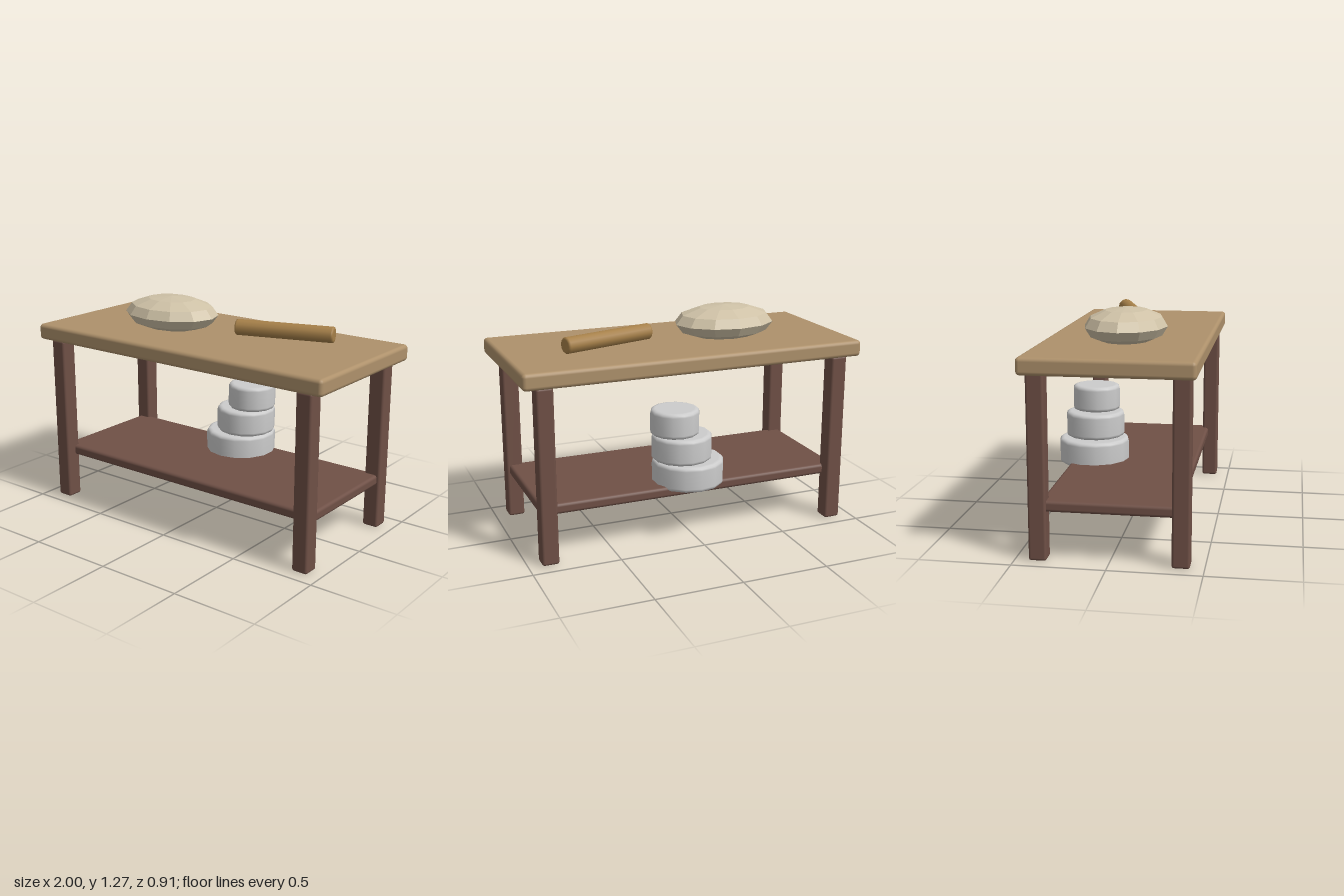
import * as THREE from 'three';
import { RoundedBoxGeometry } from 'three/addons/geometries/RoundedBoxGeometry.js';

const material = (color, flatShading = false) => new THREE.MeshStandardMaterial({ color, flatShading });

// Closed upright drum with rounded rims, centred on the origin
function drumGeometry(radius, height, bevel, sides) {
  const points = [new THREE.Vector2(0, -height / 2), new THREE.Vector2(radius - bevel * 1.3, -height / 2)];
  for (const end of [-1, 1]) {
    for (let i = 0; i <= 3; i++) {
      const a = (end < 0 ? i - 3 : i) * Math.PI / 6;
      points.push(new THREE.Vector2(
        radius - bevel + bevel * Math.cos(a),
        end * (height / 2 - bevel) + bevel * Math.sin(a)));
    }
  }
  points.push(new THREE.Vector2(radius - bevel * 1.3, height / 2), new THREE.Vector2(0, height / 2));
  return new THREE.LatheGeometry(points, sides);
}

export function createModel() {
  const group = new THREE.Group();
  const add = (name, geometry, mat, x, y, z) => {
    const mesh = new THREE.Mesh(geometry, mat);
    mesh.name = name;
    mesh.position.set(x, y, z);
    group.add(mesh);
    return mesh;
  };

  const darkWood = material(0x6f5046);
  const grey = material(0xcccccc);

  // Table
  add('tableTop', new RoundedBoxGeometry(2, 0.094, 0.91, 2, 0.022), material(0xae916b), 0, 1.045, 0);
  add('shelf', new RoundedBoxGeometry(1.818, 0.061, 0.728, 2, 0.018), darkWood, 0, 0.295, 0);
  const legGeometry = new RoundedBoxGeometry(0.096, 1.0, 0.096, 2, 0.014);
  for (const [side, x] of [['left', 1], ['right', -1]]) {
    for (const [end, z] of [['Front', 1], ['Back', -1]]) {
      add(`${side}${end}Leg`, legGeometry, darkWood, x * 0.877, 0.5, z * 0.377);
    }
  }

  // Three stacked rounds on the shelf, each shifted a little sideways
  [[0.209, 0], [0.175, 0.038], [0.141, 0.08]].forEach(([radius, x], i) => {
    add(`stackedRound${i + 1}`, drumGeometry(radius, 0.15, 0.022, 14), grey, x, 0.377 + i * 0.151, -0.249);
  });

  // Flattened dough, sunk slightly into the table top
  const dough = new THREE.SphereGeometry(1, 12, 6);
  dough.scale(0.302, 0.102, 0.231);
  add('dough', dough, material(0xcfc2a7, true), -0.335, 1.17, 0);

  // Rolling pin lying at an angle
  const pin = drumGeometry(0.047, 0.572, 0.012, 12);
  pin.rotateZ(-Math.PI / 2);
  add('rollingPin', pin, material(0xa68049), 0.415, 1.152, -0.087).rotation.y = 0.3;

  return group;
}
